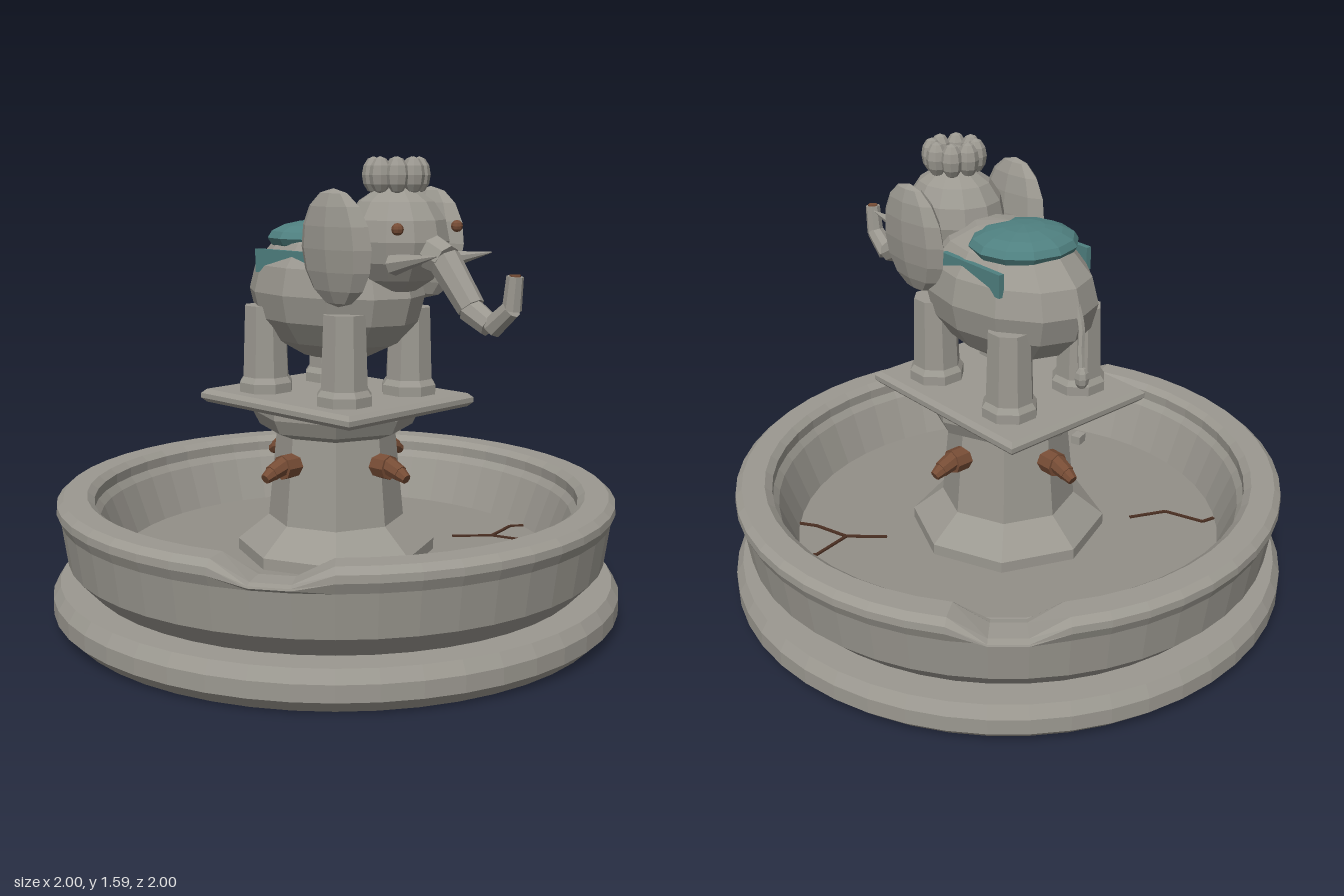
import * as THREE from 'three';

const mat = (name, color) => {
  const m = new THREE.MeshStandardMaterial({ color });
  m.name = name;
  return m;
};

export function createModel() {
  const stone = mat('stone', 0x9b9890);
  const floorStone = mat('floor stone', 0x938f88);
  const patina = mat('teal patina', 0x4f8080);
  const bronze = mat('bronze', 0x764c35);
  const crackDark = mat('dark crack', 0x4a2f22);

  const model = new THREE.Group();
  model.name = 'elephantFountain';
  const elephant = new THREE.Group();
  elephant.name = 'elephant';
  model.add(elephant);

  // Facet a geometry and add it as a named mesh
  const add = (parent, name, geo, material) => {
    const g = geo.index ? geo.toNonIndexed() : geo;
    g.computeVertexNormals();
    const m = new THREE.Mesh(g, material);
    m.name = name;
    parent.add(m);
    return m;
  };
  const ball = (parent, name, material, pos, radii, w = 10, h = 8) => {
    const m = add(parent, name, new THREE.SphereGeometry(1, w, h).scale(...radii), material);
    m.position.set(...pos);
    return m;
  };
  // Tapered rod from point a to point b
  const rod = (parent, name, material, a, b, ra, rb, sides = 8) => {
    const p = new THREE.Vector3(...a), q = new THREE.Vector3(...b);
    const d = q.clone().sub(p);
    const m = add(parent, name, new THREE.CylinderGeometry(rb, ra, d.length(), sides), material);
    m.position.copy(p).add(q).multiplyScalar(0.5);
    m.quaternion.setFromUnitVectors(new THREE.Vector3(0, 1, 0), d.normalize());
    return m;
  };
  const lathe = (pts, segs) => new THREE.LatheGeometry(pts.map(p => new THREE.Vector2(...p)), segs);

  // Basin, with two chips knocked out of the rim
  const FLOOR = 0.2;
  const basin = lathe([
    [0, 0], [0.955, 0], [1, 0.045], [1, 0.1], [0.975, 0.14], [0.875, 0.14],
    [0.945, 0.215], [0.965, 0.36], [0.98, 0.395], [0.978, 0.42], [0.955, 0.44],
    [0.875, 0.44], [0.85, 0.42], [0.85, 0.385], [0.83, 0.36], [0.77, FLOOR],
  ], 48);
  const bp = basin.attributes.position;
  for (let i = 0; i < bp.count; i++) {
    if (bp.getY(i) < 0.38) continue;
    const deg = (THREE.MathUtils.radToDeg(Math.atan2(bp.getX(i), bp.getZ(i))) + 360) % 360;
    if (Math.abs(deg - 138.75) < 5) bp.setY(i, bp.getY(i) * 0.25 + 0.263);
    if (Math.abs(deg - 303.75) < 5) bp.setY(i, bp.getY(i) * 0.25 + 0.272);
  }
  add(model, 'basin', basin, stone);
  const floor = add(model, 'basinFloor', new THREE.CircleGeometry(0.77, 48).rotateX(-Math.PI / 2), floorStone);
  floor.position.y = FLOOR;

  // Cracks in the floor
  const cracks = [
    [[-0.58, -0.5], [-0.53, -0.49], [-0.48, -0.35], [-0.35, -0.29]],
    [[0.41, 0.2], [0.52, 0.3], [0.56, 0.43], [0.6, 0.49]],
    [[0.52, 0.3], [0.67, 0.27], [0.71, 0.3]],
  ];
  for (const line of cracks) {
    for (let i = 1; i < line.length; i++) {
      const [x0, z0] = line[i - 1], [x1, z1] = line[i];
      const c = add(model, 'crack', new THREE.BoxGeometry(Math.hypot(x1 - x0, z1 - z0), 0.006, 0.011), crackDark);
      c.position.set((x0 + x1) / 2, FLOOR + 0.003, (z0 + z1) / 2);
      c.rotation.y = -Math.atan2(z1 - z0, x1 - x0);
    }
  }
  // Fallen rubble
  for (const [x, z, s, r] of [[-0.62, 0.265, 0.05, 0.3], [-0.535, 0.365, 0.02, 0.8], [0.525, -0.445, 0.036, -0.7], [0.43, -0.595, 0.02, -0.5]]) {
    const b = add(model, 'rubble', new THREE.BoxGeometry(s, s * 0.7, s * 0.8), stone);
    b.position.set(x, FLOOR + s * 0.35, z);
    b.rotation.y = r;
  }

  // Octagonal plinth and bevelled slab
  add(model, 'plinth', lathe([
    [0.35, FLOOR], [0.35, 0.24], [0.24, 0.33], [0.21, 0.635], [0.27, 0.66], [0.295, 0.71], [0.295, 0.735], [0, 0.735],
  ], 8), stone);
  const rect = new THREE.Shape([[-0.295, -0.355], [0.295, -0.355], [0.295, 0.355], [-0.295, 0.355]].map(p => new THREE.Vector2(...p)));
  const slab = new THREE.ExtrudeGeometry(rect, { depth: 0.017, bevelSize: 0.015, bevelThickness: 0.015, bevelSegments: 1 });
  add(model, 'slab', slab.rotateX(-Math.PI / 2), stone).position.y = 0.745;

  // Four bronze water spouts
  for (let i = 0; i < 4; i++) {
    const spout = new THREE.Group();
    spout.name = 'spout';
    rod(spout, 'spoutFlange', bronze, [0, 0.543, 0.19], [0, 0.543, 0.262], 0.043, 0.043);
    rod(spout, 'spoutNeck', bronze, [0, 0.55, 0.25], [0, 0.53, 0.31], 0.034, 0.028);
    rod(spout, 'spoutTip', bronze, [0, 0.533, 0.3], [0, 0.515, 0.338], 0.028, 0.018);
    spout.rotation.y = i * Math.PI / 2;
    model.add(spout);
  }

  // Body, saddle cloth and head
  ball(elephant, 'body', stone, [0, 1.13, -0.005], [0.25, 0.24, 0.355], 12, 8);
  const cloth = add(elephant, 'saddleCloth', new THREE.SphereGeometry(1, 12, 8).scale(0.19, 0.06, 0.18), patina);
  cloth.position.set(0, 1.315, -0.08);
  ball(elephant, 'head', stone, [0, 1.32, 0.28], [0.17, 0.18, 0.185], 12, 8);

  for (const s of [1, -1]) {
    const side = s > 0 ? 'left' : 'right';
    // Cloth side panel
    add(elephant, side + 'ClothPanel', new THREE.BoxGeometry(0.02, 0.08, 0.29), patina).position.set(s * 0.195, 1.238, -0.045);
    // Legs with wider feet
    for (const [end, z] of [['Front', 0.2], ['Back', -0.19]]) {
      const leg = add(elephant, side + end + 'Leg', lathe([
        [0, 0.775], [0.098, 0.775], [0.098, 0.81], [0.084, 0.83], [0.075, 1.08], [0, 1.08],
      ], 8), stone);
      leg.position.set(s * 0.16, 0, z);
      leg.rotation.y = Math.PI / 8;
    }
    // Ear, eye and tusk
    const ear = ball(elephant, side + 'Ear', stone, [s * 0.225, 1.3, 0.225], [0.05, 0.192, 0.16], 8, 8);
    ear.rotation.z = s * -0.06;
    ball(elephant, side + 'Eye', bronze, [s * 0.145, 1.365, 0.42], [0.02, 0.02, 0.02], 8, 6);
    rod(elephant, side + 'Tusk', stone, [s * 0.118, 1.25, 0.38], [s * 0.135, 1.287, 0.575], 0.036, 0.002, 7);
  }

  // Trunk in separate carved lengths, with a bronze outlet at the tip
  rod(elephant, 'trunkRoot', stone, [0, 1.3, 0.4], [0, 1.26, 0.5], 0.065, 0.055);
  rod(elephant, 'trunkUpper', stone, [0, 1.265, 0.49], [0, 1.12, 0.605], 0.055, 0.046);
  rod(elephant, 'trunkMiddle', stone, [0, 1.115, 0.6], [0, 1.07, 0.682], 0.044, 0.038);
  rod(elephant, 'trunkLower', stone, [0, 1.065, 0.69], [0, 1.13, 0.765], 0.037, 0.032);
  rod(elephant, 'trunkTip', stone, [0, 1.125, 0.765], [0, 1.23, 0.775], 0.031, 0.027);
  rod(elephant, 'trunkOutlet', bronze, [0, 1.225, 0.775], [0, 1.235, 0.775], 0.018, 0.018);

  // Lotus crown
  for (let i = 0; i < 8; i++) {
    const a = (i / 8) * Math.PI * 2;
    ball(elephant, 'crownPetal', stone, [Math.sin(a) * 0.075, 1.532, 0.28 + Math.cos(a) * 0.075], [0.038, 0.06, 0.038], 8, 6);
  }
  ball(elephant, 'crownCentre', stone, [0, 1.52, 0.28], [0.05, 0.05, 0.05], 8, 6);

  // Tail and tuft
  const tailPath = new THREE.CatmullRomCurve3([
    [0, 1.17, -0.335], [0.005, 1.1, -0.365], [0.015, 1.03, -0.375], [0.025, 0.95, -0.392],
  ].map(p => new THREE.Vector3(...p)));
  add(elephant, 'tail', new THREE.TubeGeometry(tailPath, 8, 0.012, 6), stone);
  ball(elephant, 'tailTuft', stone, [0.025, 0.935, -0.393], [0.025, 0.04, 0.025], 7, 6);

  return model;
}
